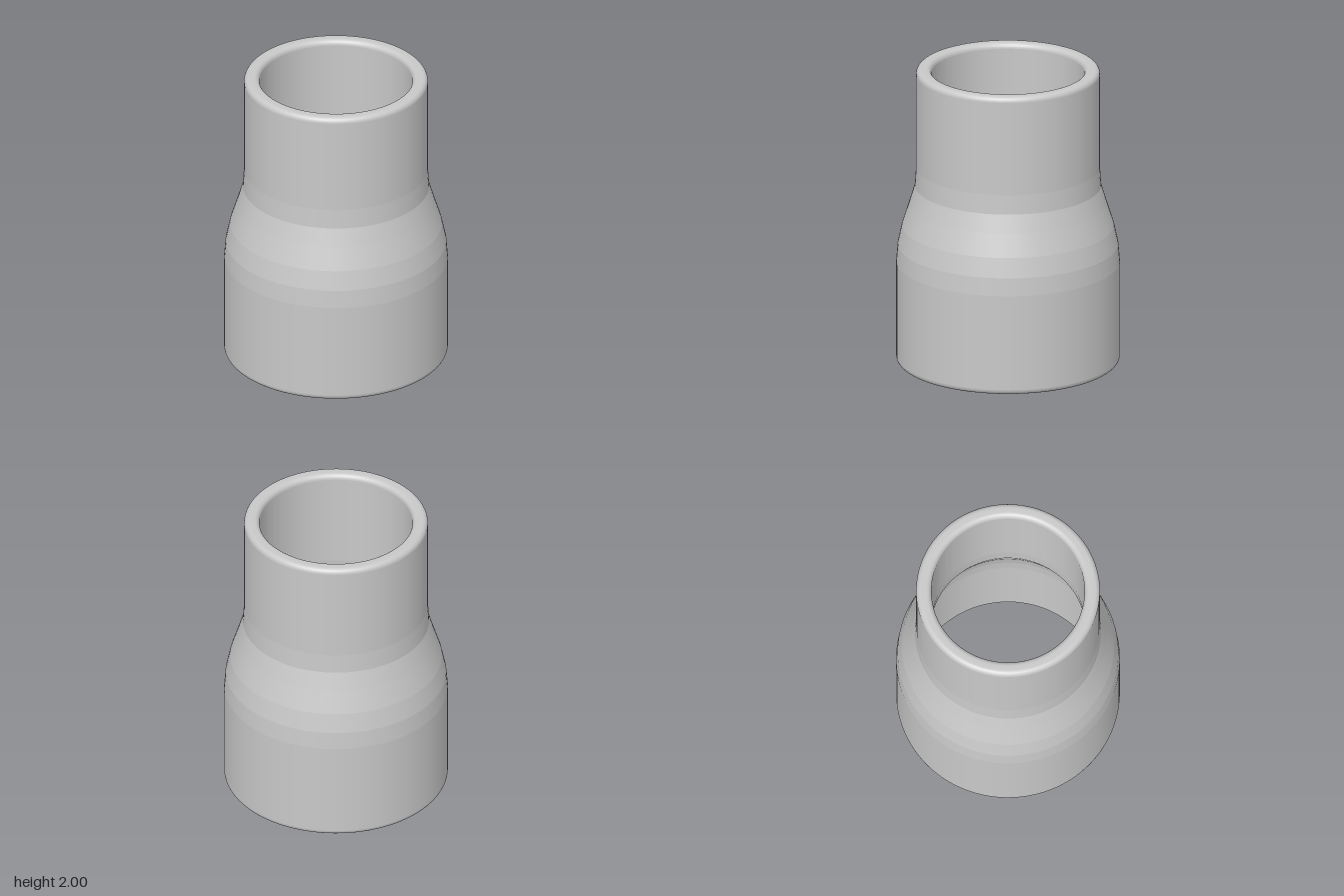
import * as THREE from 'three';

const WALL = 0.1; // pipe wall thickness
const FILLET = 0.035; // rounding of the two rims
const SEGMENTS = 96;

// Outer profile: wide socket, S-shaped reducer, narrow socket [radius, y]
const SHOULDER = [
  [0.728, 0.68], [0.718, 0.8], [0.69, 0.93], [0.642, 1.08], [0.606, 1.2], [0.598, 1.33],
];

export function createModel() {
  const model = new THREE.Group();
  const grey = new THREE.MeshStandardMaterial({ color: 0xc8c8c8 });
  grey.name = 'light grey';

  const turn = (name, points, parent = model) => {
    const profile = points.map(([r, y]) => new THREE.Vector2(r, y));
    const mesh = new THREE.Mesh(new THREE.LatheGeometry(profile, SEGMENTS), grey);
    mesh.name = name;
    parent.add(mesh);
  };

  // Rounded quarter corner about a centre, from angle a
  const corner = (r, y, a) => Array.from({ length: 7 }, (_, i) => {
    const t = a + (i / 6) * Math.PI / 2;
    return [r + FILLET * Math.cos(t), y + FILLET * Math.sin(t)];
  });

  const wide = SHOULDER[0][0];
  const narrow = SHOULDER[SHOULDER.length - 1][0];
  const low = FILLET, high = 2 - FILLET;

  // Straight walls of both sockets
  turn('wideSocketOuter', [[wide, low], SHOULDER[0]]);
  turn('narrowSocketOuter', [[narrow, 1.33], [narrow, high]]);
  turn('narrowSocketInner', [[narrow - WALL, high], [narrow - WALL, 1.33]]);
  turn('wideSocketInner', [[wide - WALL, 0.68], [wide - WALL, low]]);

  // Rims with rounded inner and outer edges
  turn('topRim', [
    ...corner(narrow - FILLET, high, 0),
    ...corner(narrow - WALL + FILLET, high, Math.PI / 2),
  ]);
  turn('bottomRim', [
    ...corner(wide - WALL + FILLET, low, Math.PI),
    ...corner(wide - FILLET, low, Math.PI * 1.5),
  ]);

  // Reducer bands, each a separate cone so the creases between them stay sharp
  const reducer = new THREE.Group();
  reducer.name = 'reducer';
  model.add(reducer);
  for (let i = 0; i < SHOULDER.length - 1; i++) {
    const [r0, y0] = SHOULDER[i];
    const [r1, y1] = SHOULDER[i + 1];
    turn(`reducerOuter${i + 1}`, [[r0, y0], [r1, y1]], reducer);
    turn(`reducerInner${i + 1}`, [[r1 - WALL, y1], [r0 - WALL, y0]], reducer);
  }
  return model;
}
